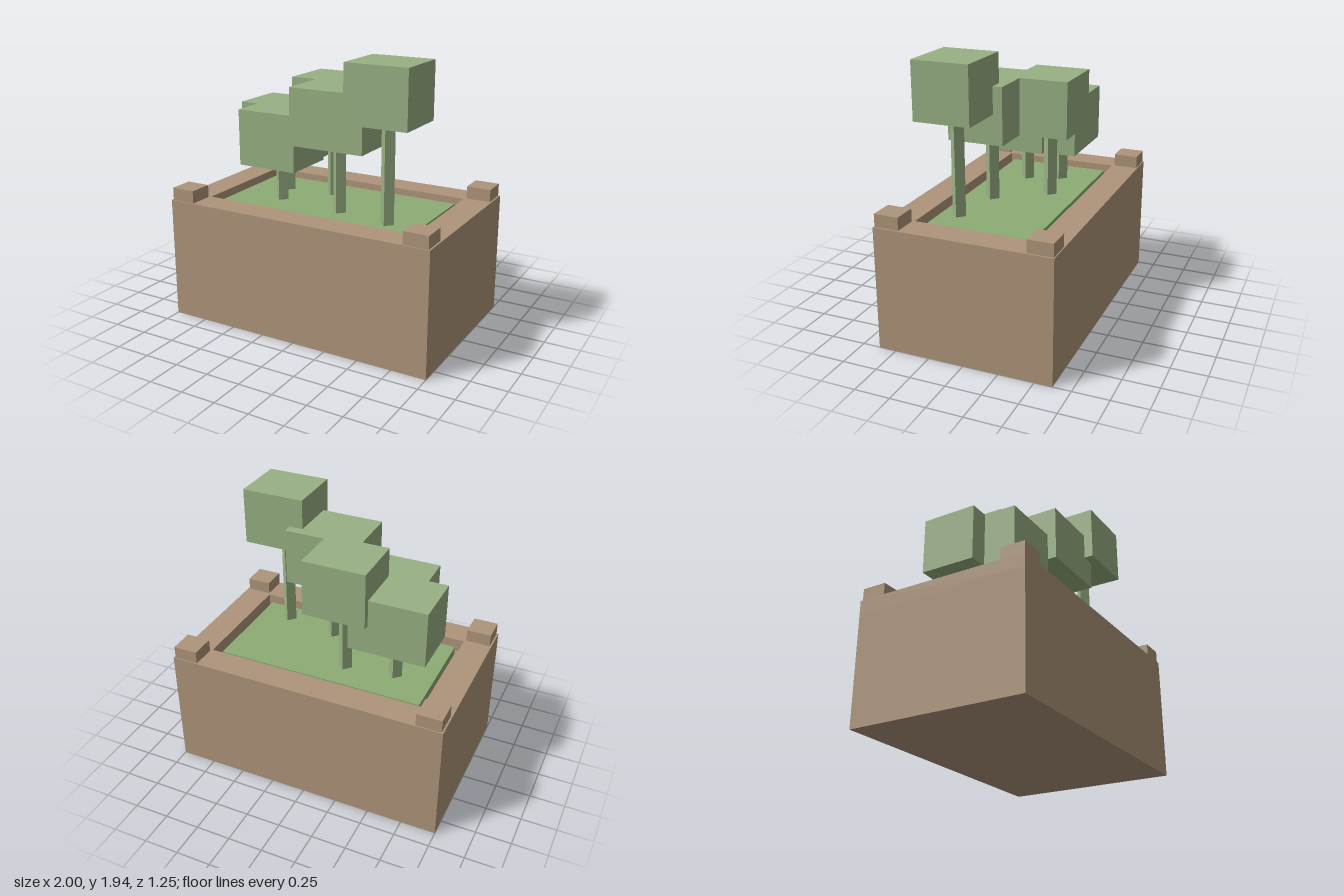
import * as THREE from 'three';

const mat = (color) => new THREE.MeshStandardMaterial({ color, flatShading: true });
const clay = mat(0xae957a);
const grass = mat(0x8cac74);
const leaf = mat(0x98b083);

const RIM = 0.877; // top of the planter wall
const SOIL = 0.845; // top of the planted bed
const FLOOR = 0.78; // bottom of the recess

function part(parent, name, geometry, material, x = 0, y = 0, z = 0) {
  const mesh = new THREE.Mesh(geometry, material);
  mesh.name = name;
  mesh.position.set(x, y, z);
  parent.add(mesh);
  return mesh;
}

function rectangle(target, w, d) {
  target.moveTo(-w, -d).lineTo(w, -d).lineTo(w, d).lineTo(-w, d).closePath();
  return target;
}

// four-sided post with a box crown
function tree(x, z, width, crownBase) {
  const group = new THREE.Group();
  group.name = 'tree';
  group.position.set(x, 0, z);
  const h = crownBase - SOIL;
  part(group, 'trunk', new THREE.CylinderGeometry(0.05, 0.05, h, 4), leaf, 0, SOIL + h / 2);
  part(group, 'crown', new THREE.BoxGeometry(width, 0.4, 0.4), leaf, 0, crownBase + 0.198);
  return group;
}

export function createModel() {
  const model = new THREE.Group();
  model.name = 'planter';

  // planter: closed base with a rim wall around the recess
  part(model, 'base', new THREE.BoxGeometry(2, FLOOR, 1.25), clay, 0, FLOOR / 2);
  const ring = rectangle(new THREE.Shape(), 1, 0.625);
  ring.holes.push(rectangle(new THREE.Path(), 0.8, 0.425));
  const rim = new THREE.ExtrudeGeometry(ring, { depth: RIM - FLOOR, bevelEnabled: false });
  rim.rotateX(-Math.PI / 2);
  part(model, 'rim', rim, clay, 0, FLOOR);

  // raised corner blocks
  for (const sx of [-1, 1]) {
    for (const sz of [-1, 1]) {
      part(model, 'cornerBlock', new THREE.BoxGeometry(0.175, 0.09, 0.175), clay,
        sx * 0.9, RIM + 0.045, sz * 0.53);
    }
  }

  // planted bed
  part(model, 'bed', new THREE.BoxGeometry(1.5, SOIL - FLOOR, 0.75), grass, 0, (SOIL + FLOOR) / 2);

  // trees: x, z, crown width, crown base height
  const trees = [
    [-0.48, -0.12, 0.55, 1.118],
    [-0.39, 0.115, 0.45, 1.118],
    [-0.123, -0.168, 0.45, 1.328],
    [0.12, 0.175, 0.55, 1.328],
    [0.52, 0.242, 0.45, 1.538],
  ];
  for (const t of trees) model.add(tree(...t));

  return model;
}
